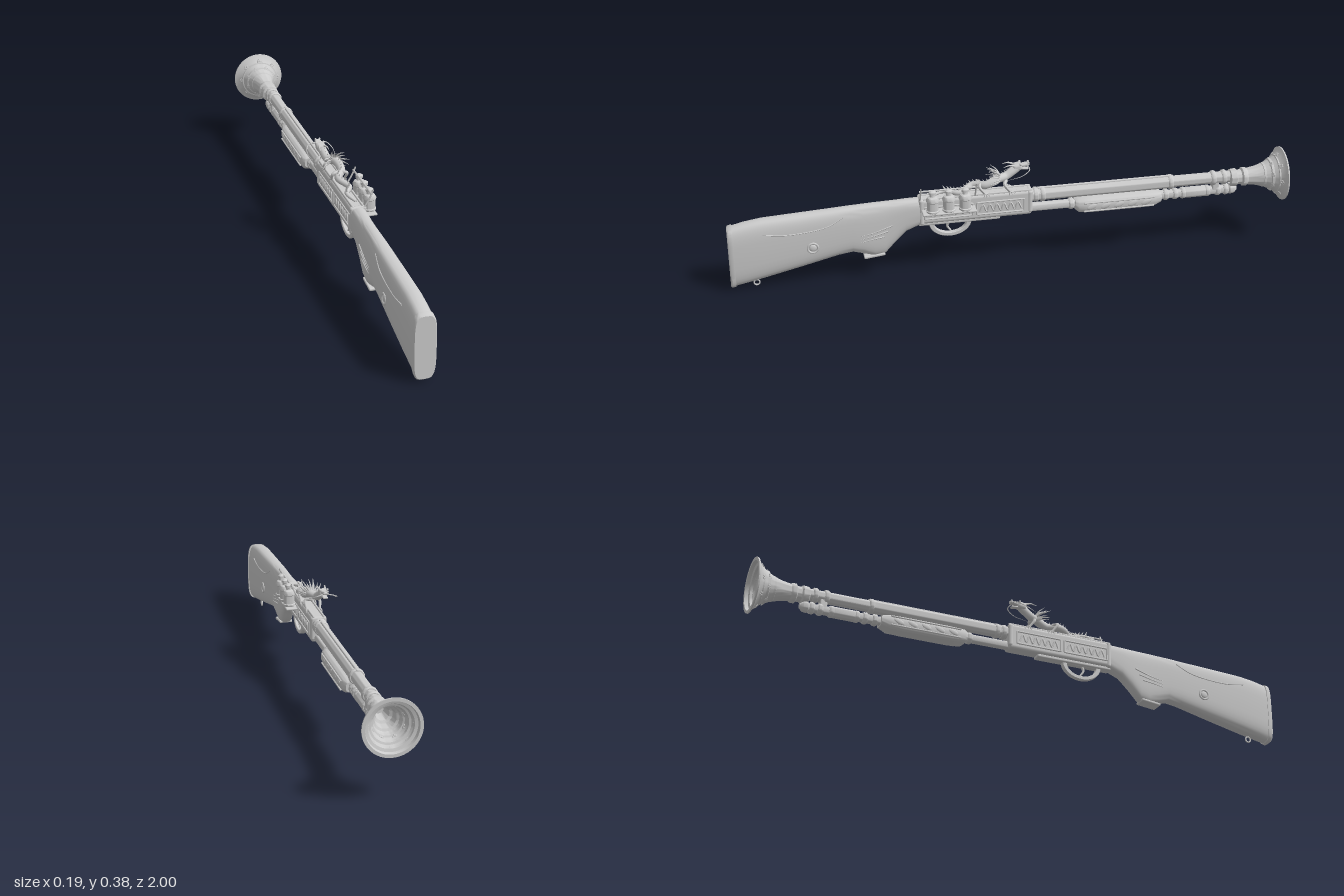
import * as THREE from 'three';
import { toCreasedNormals } from 'three/addons/utils/BufferGeometryUtils.js';
import { RoundedBoxGeometry } from 'three/addons/geometries/RoundedBoxGeometry.js';

const grey = new THREE.MeshStandardMaterial({ color: 0xcccccc, side: THREE.DoubleSide });
const V = (x, y, z) => new THREE.Vector3(x, y, z);

export function createModel() {
  const root = new THREE.Group();
  const add = (name, geo, x = 0, y = 0, z = 0, parent = root) => {
    const m = new THREE.Mesh(geo, grey);
    m.name = name;
    m.position.set(x, y, z);
    parent.add(m);
    return m;
  };
  const group = (name) => {
    const g = new THREE.Group();
    g.name = name;
    root.add(g);
    return g;
  };
  const box = (name, w, h, d, x, y, z, parent, r = 0.004) =>
    add(name, new RoundedBoxGeometry(w, h, d, 2, Math.min(r, w / 2.1, h / 2.1, d / 2.1)), x, y, z, parent);

  // Turned part along the gun; pts are [z, radius], listed from butt to muzzle
  const turned = (name, pts, y, seg = 32, x = 0, parent = root) => {
    const g = new THREE.LatheGeometry(pts.map(([z, r]) => new THREE.Vector2(r, -z)), seg);
    g.rotateX(-Math.PI / 2);
    return add(name, toCreasedNormals(g, 0.6), x, y, 0, parent);
  };
  const ring = (name, z, r, y, w = 0.018) =>
    turned(name, [[z + w / 2, 0], [z + w / 2, r - 0.003], [z + w / 4, r], [z - w / 4, r], [z - w / 2, r - 0.003], [z - w / 2, 0]], y);

  // Tapered tube through points; radius is a function of t
  const tube = (name, pts, radius, parent = root, n = 24, sides = 8) => {
    const curve = new THREE.CatmullRomCurve3(pts);
    const g = new THREE.TubeGeometry(curve, n, 1, sides);
    const p = g.attributes.position, v = V(0, 0, 0);
    for (let i = 0; i < p.count; i++) {
      const t = Math.floor(i / (sides + 1)) / n, c = curve.getPointAt(t);
      v.fromBufferAttribute(p, i).sub(c).multiplyScalar(radius(t)).add(c);
      p.setXYZ(i, v.x, v.y, v.z);
    }
    g.computeVertexNormals();
    return add(name, g, 0, 0, 0, parent);
  };

  // Loft of rounded cross-sections [z, bottom, top, half width]
  const loft = (name, sections, power, n = 32) => {
    const pos = [], idx = [], s = sections.length;
    const soft = (v) => Math.sign(v) * Math.abs(v) ** power;
    for (const [z, b, t, w] of sections)
      for (let i = 0; i < n; i++) {
        const a = (i / n) * Math.PI * 2;
        pos.push(w * soft(Math.cos(a)), (b + t) / 2 + ((t - b) / 2) * soft(Math.sin(a)), z);
      }
    for (let k = 0; k < s - 1; k++)
      for (let i = 0; i < n; i++) {
        const a = k * n + i, b = k * n + (i + 1) % n;
        idx.push(a, a + n, b, b, a + n, b + n);
      }
    for (let i = 1; i < n - 1; i++) {
      const e = (s - 1) * n;
      idx.push(0, i, i + 1, e, e + i + 1, e + i);
    }
    const g = new THREE.BufferGeometry();
    g.setAttribute('position', new THREE.Float32BufferAttribute(pos, 3));
    g.setIndex(idx);
    return add(name, toCreasedNormals(g, 0.7), 0, 0, 0);
  };

  // Shoulder stock with pistol grip
  loft('stock', [
    [0.99, 0.012, 0.238, 0.037], [0.94, 0.022, 0.25, 0.038], [0.88, 0.035, 0.259, 0.038], [0.75, 0.065, 0.266, 0.036],
    [0.62, 0.096, 0.273, 0.033], [0.57, 0.103, 0.276, 0.032], [0.53, 0.091, 0.278, 0.031], [0.49, 0.079, 0.28, 0.03],
    [0.455, 0.086, 0.281, 0.029], [0.42, 0.125, 0.282, 0.028], [0.38, 0.165, 0.283, 0.028], [0.32, 0.19, 0.284, 0.028],
  ], 0.6);
  loft('buttPlate', [[1, 0.013, 0.234, 0.035], [0.995, 0.009, 0.239, 0.039], [0.982, 0.012, 0.242, 0.039]], 0.5);
  box('gripCap', 0.05, 0.01, 0.075, 0, 0.083, 0.495).rotation.x = 0.12;
  add('slingSwivel', new THREE.TorusGeometry(0.01, 0.003, 8, 20), 0, 0.013, 0.91).rotation.y = Math.PI / 2;

  // Scroll ornaments on the butt plate
  for (const y of [0.165, 0.13, 0.09]) {
    const g = group('buttScroll');
    add('curl', new THREE.TorusGeometry(0.007, 0.002, 6, 18, 4.8), -0.004, y, 1 - 0.002, g);
    add('leaf', new THREE.TorusGeometry(0.006, 0.002, 6, 14, 3.2), 0.007, y + 0.003, 1 - 0.002, g).rotation.z = 2;
  }

  for (const s of [-1, 1]) {
    // Roundel, cheek line and grip carving on each side of the stock
    add('stockRoundel', new THREE.TorusGeometry(0.018, 0.004, 8, 24), s * 0.035, 0.145, 0.71).rotation.y = Math.PI / 2;
    const boss = add('roundelBoss', new THREE.SphereGeometry(0.013, 16, 10), s * 0.035, 0.145, 0.71);
    boss.scale.x = 0.35;
    tube('cheekLine', [V(s * 0.037, 0.215, 0.88), V(s * 0.036, 0.205, 0.8), V(s * 0.034, 0.22, 0.66), V(s * 0.029, 0.25, 0.6)], () => 0.002);
    for (const k of [0, 1, 2])
      tube('gripCarving', [V(s * 0.029, 0.2 - k * 0.02, 0.43 + k * 0.015), V(s * 0.031, 0.178 - k * 0.012, 0.5), V(s * 0.031, 0.17 - k * 0.012, 0.54)], (t) => 0.003 * (1 - t * 0.7), root, 10, 6);

    // Receiver side panels with a raised frame and carved waves
    for (const [z, len] of [[0.23, 0.17], [0.045, 0.17]]) {
      for (const y of [0.212, 0.258]) box('panelRail', 0.006, 0.006, len, s * 0.028, y, z);
      for (const e of [-1, 1]) box('panelEnd', 0.006, 0.05, 0.006, s * 0.028, 0.235, z + e * len / 2);
      tube('panelWave', Array.from({ length: 13 }, (_, i) => V(s * 0.028, 0.235 + (i % 2 ? 0.013 : -0.013), z + (i / 12 - 0.5) * (len - 0.02))), () => 0.0035, root, 60, 6);
    }
    box('receiverTopRail', 0.008, 0.01, 0.4, s * 0.018, 0.285, 0.13);
  }

  // Receiver
  box('receiver', 0.054, 0.094, 0.4, 0, 0.238, 0.13, root, 0.012);
  box('receiverCollar', 0.06, 0.1, 0.018, 0, 0.238, 0.325, root, 0.012);
  box('receiverFront', 0.058, 0.088, 0.02, 0, 0.242, -0.062, root, 0.012);
  box('triggerPlate', 0.036, 0.012, 0.29, 0, 0.187, 0.19);

  // Trigger guard and trigger
  const guard = new THREE.Shape().absellipse(0, 0, 0.074, 0.056, Math.PI, Math.PI * 2);
  guard.holes.push(new THREE.Path().absellipse(0, -0.004, 0.06, 0.042, Math.PI, Math.PI * 2));
  const guardGeo = new THREE.ExtrudeGeometry(guard, { depth: 0.014, bevelEnabled: true, bevelSize: 0.002, bevelThickness: 0.002, bevelSegments: 1, curveSegments: 24 });
  add('triggerGuard', guardGeo.translate(0, 0, -0.007).rotateY(Math.PI / 2), 0, 0.185, 0.222);
  tube('trigger', [V(0, 0.185, 0.225), V(0, 0.165, 0.232), V(0, 0.145, 0.22)], (t) => 0.006 - t * 0.003, root, 10);

  // Barrel, magazine tube and their bands
  turned('barrel', [[-0.04, 0.023], [-0.58, 0.023], [-0.58, 0.021], [-0.84, 0.021]], 0.257);
  turned('magazineTube', [[-0.04, 0.016], [-0.8, 0.016], [-0.805, 0.02], [-0.82, 0.018], [-0.832, 0.008], [-0.832, 0]], 0.208);
  box('barrelRib', 0.01, 0.01, 0.5, 0, 0.28, -0.34);
  for (const z of [-0.085, -0.11, -0.58, -0.74, -0.78]) ring('barrelBand', z, 0.027, 0.257);
  for (const z of [-0.215, -0.565, -0.6, -0.63, -0.72, -0.76, -0.79]) ring('magazineBand', z, 0.021, 0.208);
  box('barrelClamp', 0.03, 0.06, 0.025, 0, 0.23, -0.75);
  turned('magazineSleeve', [[-0.63, 0.017], [-0.64, 0.02], [-0.71, 0.02], [-0.72, 0.017]], 0.208);

  // Sliding fore-end with carved flutes
  loft('foreEnd', [
    [-0.228, 0.188, 0.225, 0.026], [-0.24, 0.178, 0.23, 0.034], [-0.29, 0.174, 0.232, 0.036],
    [-0.47, 0.174, 0.232, 0.036], [-0.52, 0.178, 0.23, 0.034], [-0.545, 0.188, 0.225, 0.026],
  ], 0.65);
  for (const s of [-1, 1]) {
    for (const y of [0.187, 0.219]) box('foreEndRail', 0.006, 0.006, 0.26, s * 0.035, y, -0.385);
    for (let i = 0; i < 5; i++) {
      const leaf = add('foreEndLeaf', new THREE.SphereGeometry(0.02, 12, 8), s * 0.035, 0.203, -0.285 - i * 0.05);
      leaf.scale.set(0.18, 0.45, 1);
      leaf.rotation.x = 0.35;
    }
  }

  // Flared muzzle: outside, lip, then stepped inside
  turned('muzzleBell', [
    [-0.8, 0.022], [-0.805, 0.031], [-0.825, 0.033], [-0.83, 0.027], [-0.845, 0.027], [-0.85, 0.034], [-0.862, 0.034], [-0.868, 0.03],
    [-0.9, 0.035], [-0.93, 0.044], [-0.955, 0.056], [-0.975, 0.07], [-0.99, 0.087], [-0.995, 0.097], [-1, 0.097],
    [-1, 0.086], [-0.988, 0.083], [-0.985, 0.073], [-0.972, 0.071], [-0.968, 0.06], [-0.95, 0.057], [-0.945, 0.047],
    [-0.925, 0.044], [-0.92, 0.035], [-0.89, 0.031], [-0.885, 0.022], [-0.84, 0.017], [-0.84, 0],
  ], 0.251, 48);
  // Small blossoms around the outside of the bell
  for (let i = 0; i < 16; i++) {
    const a = (i / 16) * Math.PI * 2, inner = i % 2;
    const r = inner ? 0.055 : 0.075, z = inner ? -0.951 : -0.978;
    const f = group('bellBlossom');
    f.position.set(r * Math.cos(a), 0.251 + r * Math.sin(a), z);
    f.lookAt(f.position.x + Math.cos(a), f.position.y + Math.sin(a), z + 1.1);
    for (let k = 0; k < 5; k++) {
      const b = k * 1.2566;
      add('petal', new THREE.SphereGeometry(0.0045, 6, 5), 0.005 * Math.cos(b), 0.005 * Math.sin(b), 0, f).scale.z = 0.45;
    }
  }

  // Rack with three bottles on the left side
  const rack = group('bottleRack');
  box('shelf', 0.046, 0.008, 0.19, 0.047, 0.247, 0.232, rack);
  for (const z of [0.135, 0.33]) tube('rackStrut', [V(0.022, 0.285, z), V(0.038, 0.312, z), V(0.052, 0.343, z)], () => 0.003, rack, 8, 6);
  tube('rackBar', [V(0.045, 0.33, 0.13), V(0.045, 0.33, 0.335)], () => 0.0035, rack, 4);
  const bottle = [[0, 0], [0.02, 0], [0.023, 0.003], [0.023, 0.008], [0.02, 0.01], [0.02, 0.04], [0.023, 0.043], [0.023, 0.048],
    [0.018, 0.057], [0.01, 0.061], [0.009, 0.068], [0.013, 0.07], [0.013, 0.078], [0.006, 0.083], [0, 0.083]].map(([r, y]) => new THREE.Vector2(r, y));
  for (const z of [0.175, 0.233, 0.29])
    add('bottle', toCreasedNormals(new THREE.LatheGeometry(bottle, 24), 0.6), 0.052, 0.251, z, rack);

  // Dragon coiled along the top
  const dragon = group('dragon');
  const spine = [V(0.004, 0.288, 0.29), V(-0.012, 0.296, 0.24), V(0.012, 0.297, 0.19), V(-0.012, 0.31, 0.14), V(0.013, 0.318, 0.095),
    V(0.006, 0.334, 0.05), V(-0.014, 0.332, 0.02), V(-0.02, 0.345, -0.005), V(-0.024, 0.357, -0.025)];
  tube('dragonBody', spine, (t) => 0.004 + 0.011 * Math.sin(Math.PI * Math.min(t, 0.8) * 0.62), dragon, 70, 12);
  const spineCurve = new THREE.CatmullRomCurve3(spine);
  for (let i = 4; i < 26; i++) {
    const p = spineCurve.getPointAt(i / 27);
    const fin = add('backSpine', new THREE.ConeGeometry(0.004, 0.018, 5), p.x, p.y + 0.016, p.z, dragon);
    fin.rotation.x = 0.5;
  }
  // Head with jaws, eyes, horns and whiskers
  const head = new THREE.Group();
  head.name = 'dragonHead';
  head.position.set(-0.026, 0.36, -0.025);
  head.rotation.x = 0.15;
  dragon.add(head);
  box('skull', 0.034, 0.026, 0.034, 0, 0, 0, head, 0.01);
  box('upperJaw', 0.022, 0.011, 0.036, 0, 0.002, -0.026, head, 0.005);
  box('lowerJaw', 0.018, 0.006, 0.032, 0, -0.012, -0.022, head, 0.003).rotation.x = -0.25;
  for (const s of [-1, 1]) {
    add('eye', new THREE.SphereGeometry(0.005, 10, 8), s * 0.013, 0.01, -0.012, head);
    add('nostril', new THREE.SphereGeometry(0.004, 8, 6), s * 0.007, 0.007, -0.041, head);
    tube('horn', [V(s * 0.009, 0.008, 0.01), V(s * 0.014, 0.016, 0.03), V(s * 0.016, 0.014, 0.052)], (t) => 0.004 * (1 - t) + 0.0006, head, 10, 6);
    tube('whisker', [V(s * 0.008, -0.002, -0.035), V(s * 0.032, -0.008, -0.038), V(s * 0.048, -0.018, -0.005), V(s * 0.04, -0.026, 0.045)], (t) => 0.002 * (1 - t) + 0.0005, head, 18, 5);
    // Clawed legs gripping the receiver
    for (const z of [0.02, 0.11]) {
      tube('leg', [V(0, 0.32, z), V(s * 0.025, 0.318, z + 0.01), V(s * 0.024, 0.288, z - 0.01)], (t) => 0.007 - 0.003 * t, dragon, 12);
      for (const c of [-1, 0, 1])
        tube('claw', [V(s * 0.024, 0.29, z - 0.01), V(s * 0.028, 0.285, z - 0.016 + c * 0.008), V(s * 0.027, 0.275, z - 0.016 + c * 0.011)], (t) => 0.003 * (1 - t) + 0.0005, dragon, 6, 5);
    }
  }
  // Fan of mane spikes behind the neck
  for (let i = 0; i < 15; i++) {
    const a = -0.3 + (i / 14) * (Math.PI + 0.6), len = 0.036 + 0.008 * (i % 3);
    const tip = V(Math.cos(a) * len, 0.332 + Math.sin(a) * len, 0.075 + 0.01 * (i % 2));
    tube('maneSpike', [V(0, 0.332, 0.04), V(tip.x * 0.6, 0.332 + (tip.y - 0.332) * 0.6, 0.052), tip], (t) => 0.005 * (1 - t) + 0.0005, dragon, 8, 5);
  }
  return root;
}
